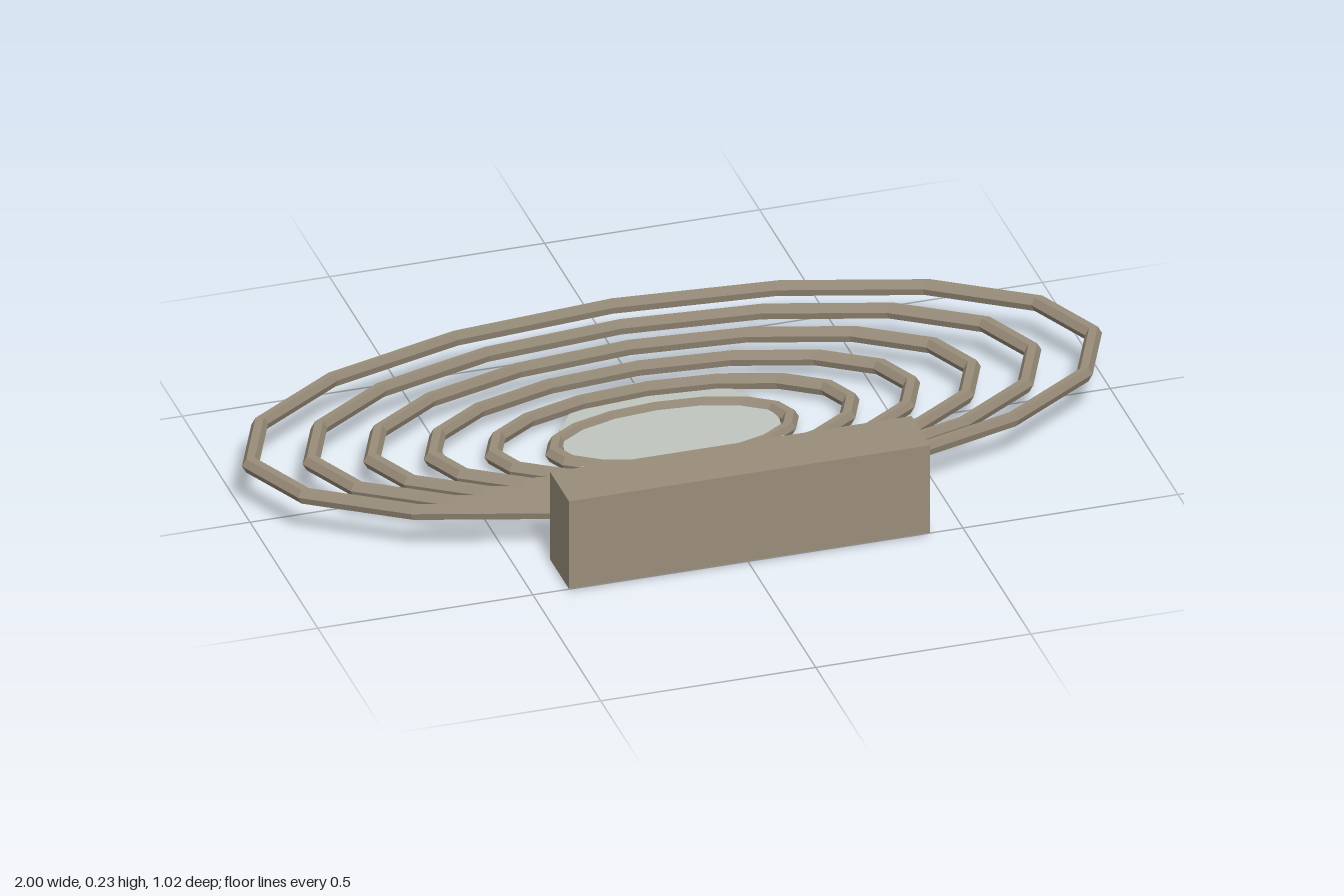
import * as THREE from 'three';

const material = (color) => new THREE.MeshStandardMaterial({ color, flatShading: true });

export function createModel() {
  const model = new THREE.Group();
  const stone = material(0x9a8e7b);
  const pale = material(0xc0c6c0);
  const blue = material(0x2f5d73);

  const add = (name, geometry, mat, x, y, z) => {
    const mesh = new THREE.Mesh(geometry, mat);
    mesh.name = name;
    mesh.position.set(x, y, z);
    model.add(mesh);
    return mesh;
  };

  const centreZ = -0.06;

  // Oval tier rings, rising outward like a shallow bowl
  for (let i = 0; i < 6; i++) {
    const ring = new THREE.TorusGeometry(0.275 + i * 0.141, 0.02, 6, 16);
    ring.rotateX(-Math.PI / 2);
    ring.scale(1, 1, 0.45);
    add(`tierRing${i + 1}`, ring, stone, 0, 0.0173 + i * 0.0185, centreZ);
  }

  // Round floor in the middle
  add('floorDisc', new THREE.CylinderGeometry(0.25, 0.25, 0.012, 16), pale, 0, 0.014, centreZ);

  // Front block with a glazed strip facing the rings
  add('frontBlock', new THREE.BoxGeometry(0.84, 0.223, 0.138), stone, 0, 0.1195, 0.443);
  add('windowStrip', new THREE.BoxGeometry(0.62, 0.028, 0.014), blue, 0, 0.176, 0.373);

  return model;
}
